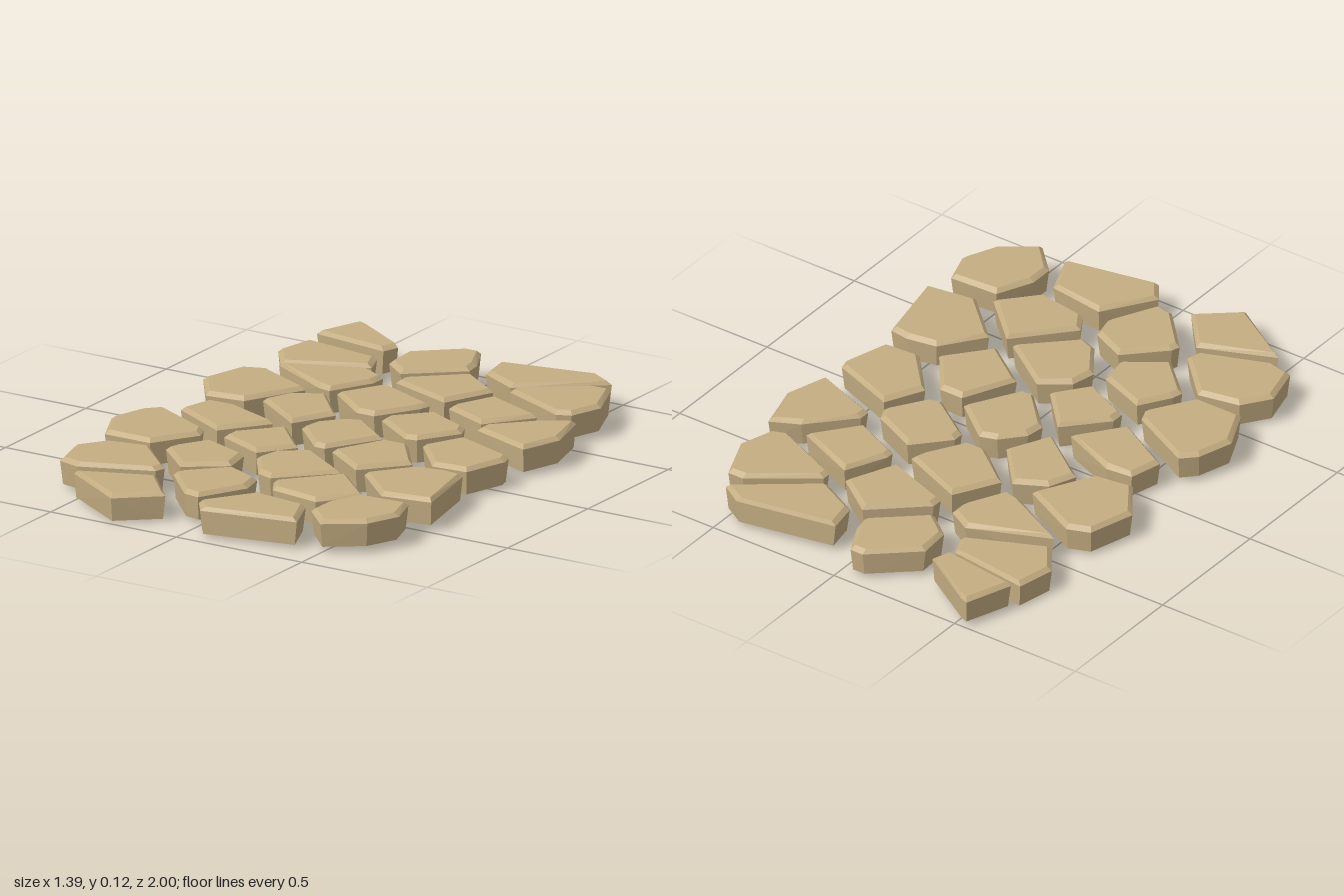
import * as THREE from 'three';
import { ConvexGeometry } from 'three/addons/geometries/ConvexGeometry.js';

const HEIGHT = 0.096, BEVEL = 0.014;

export function createModel() {
  const path = new THREE.Group();
  path.name = 'steppingStonePath';
  const sandstone = new THREE.MeshStandardMaterial({ color: 0xc4ad82 });
  sandstone.name = 'sandstone';

  // One slab: an x,z outline in hundredths, narrowed underneath, with a chamfered top rim
  function stone(base, ...outline) {
    const corners = [];
    for (let i = 0; i < outline.length; i += 2) {
      corners.push(new THREE.Vector2(outline[i] / 100, outline[i + 1] / 100));
    }
    const centre = new THREE.Vector2();
    corners.forEach((c) => centre.addScaledVector(c, 1 / corners.length));
    const points = [];
    const ring = (y, inset) => corners.forEach((c) => {
      const p = c.clone().sub(centre);
      p.setLength(p.length() - inset).add(centre);
      points.push(new THREE.Vector3(p.x, y, p.y));
    });
    ring(base, 0.01);
    ring(base + HEIGHT - BEVEL, 0);
    ring(base + HEIGHT, 0.018);
    const mesh = new THREE.Mesh(new ConvexGeometry(points), sandstone);
    mesh.name = `stone${path.children.length + 1}`;
    path.add(mesh);
  }

  // Back end
  stone(0.02, -55, -100, -52, -99, -30, -85, -32, -79, -61, -83);
  stone(0.015, -9, -96, -4, -96, 2, -84, 3, -78, -15, -63, -24, -70, -25, -82);
  stone(0.02, 8, -88, 44, -95, 52, -90, 25, -69, 10, -77);
  stone(0, -62, -79, -32, -75, -29, -67, -57, -54, -65, -65);
  stone(0.01, -55, -50, -27, -62, -18, -57, -18, -51, -26, -36, -31, -37);
  stone(0.015, 7, -74, 22, -63, 14, -45, -11, -54, -11, -58);
  stone(0.024, 50, -83, 56, -83, 63, -66, 59, -54, 54, -52, 28, -64, 28, -67);

  // Back half
  stone(0.015, 26, -58, 49, -48, 37, -32, 19, -40, 19, -43);
  stone(0.015, -12, -49, 12, -39, 11, -35, 2, -20, -5, -20, -21, -33);
  stone(0.012, -55, -43, -33, -32, -44, -11, -58, -9, -68, -23, -63, -40);
  stone(0.01, -24, -31, -10, -15, -18, 0, -39, -15, -35, -25);
  stone(0.015, 18, -33, 35, -25, 37, -20, 28, -6, 24, -5, 7, -17, 7, -21);
  stone(0.018, 64, -49, 69, -31, 64, -16, 40, -25, 40, -29, 54, -44);

  // Middle
  stone(0.01, 2, -14, 17, -2, 6, 17, 2, 17, -12, 3, -11, -4, -4, -12);
  stone(0.012, 40, -16, 64, -7, 65, -3, 60, 13, 47, 14, 33, -2);
  stone(0.01, -54, -4, -44, -5, -23, 4, -35, 20, -57, 8);
  stone(0.01, -16, 6, -2, 21, -11, 33, -29, 25, -29, 20);
  stone(0.015, 20, 1, 29, 1, 41, 17, 28, 32, 11, 20);

  // Front half
  stone(0.02, -61, 13, -37, 25, -35, 30, -45, 46, -63, 46, -70, 31, -66, 18);
  stone(0.012, -30, 32, -12, 39, -10, 50, -24, 60, -38, 47, -37, 43);
  stone(0.012, 5, 23, 25, 37, 8, 54, 2, 52, -7, 39, -5, 30);
  stone(0.02, 56, 19, 63, 20, 69, 49, 51, 52, 34, 36, 45, 21);
  stone(0.015, 29, 39, 46, 55, 35, 68, 16, 65, 12, 58);

  // Front end
  stone(0.015, -43, 49, -27, 65, -28, 69, -53, 79, -61, 77, -65, 62, -58, 52);
  stone(0.015, -7, 53, 6, 59, 8, 68, -1, 85, -7, 84, -21, 69, -20, 66);
  stone(0.008, -25, 73, -12, 88, -26, 100, -51, 84);
  stone(0.012, 14, 71, 35, 74, 41, 89, 7, 96, 2, 89);
  stone(0.026, 47, 58, 65, 57, 69, 69, 64, 81, 51, 90, 41, 80, 41, 71);

  return path;
}
